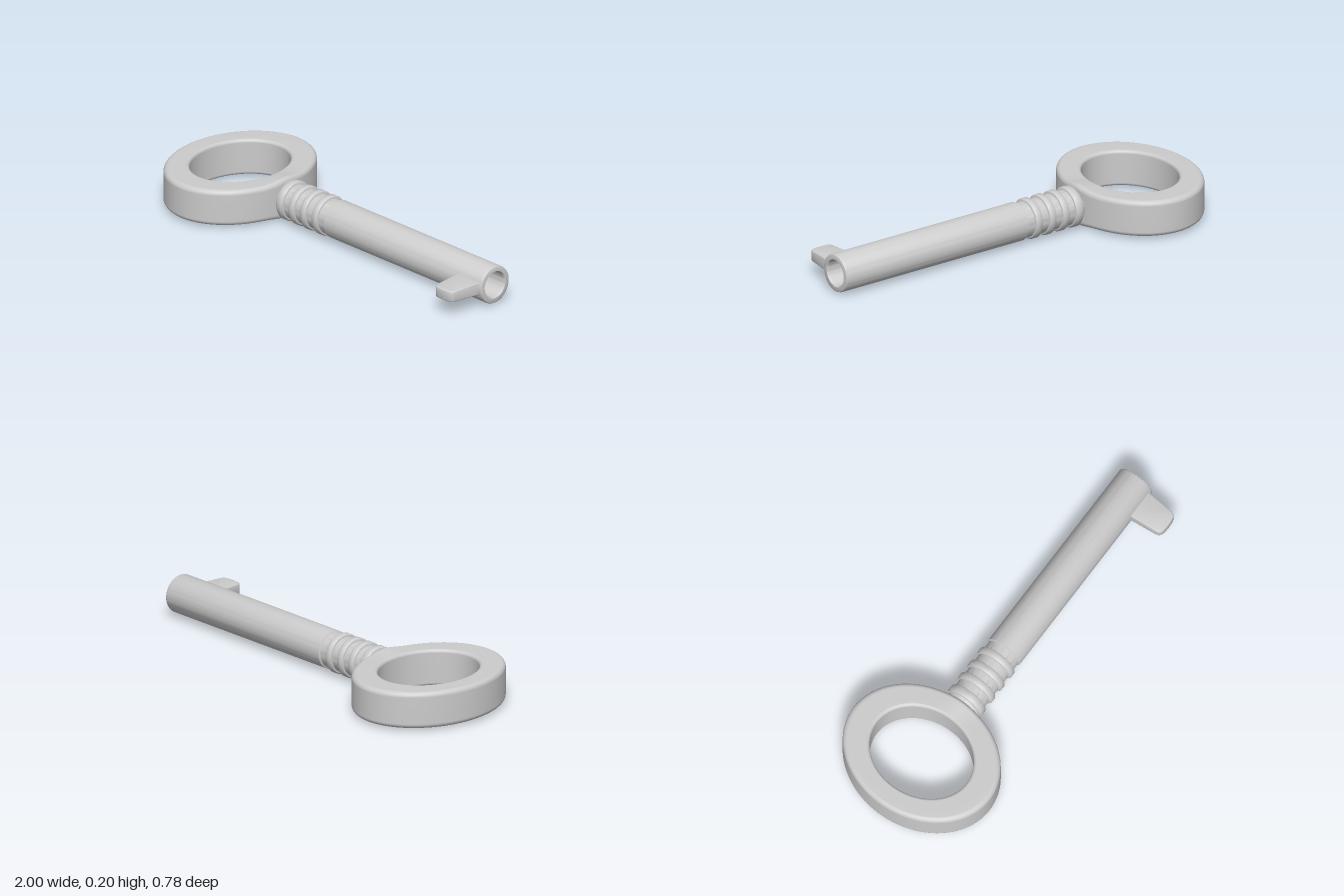
import * as THREE from 'three';
import { toCreasedNormals } from 'three/addons/utils/BufferGeometryUtils.js';

const CY = 0.107; // height of the key's axis
const CZ = -0.003;
const material = new THREE.MeshStandardMaterial({ color: 0xcccccc });

function part(name, geometry) {
  const mesh = new THREE.Mesh(geometry, material);
  mesh.name = name;
  mesh.position.set(0, CY, CZ);
  return mesh;
}

// Oval bow: a rounded rectangle swept round an ellipse, flaring where it meets the stem
function bowGeometry() {
  const cx = -0.685, h = 0.089, steps = 96;
  const outer = [0.315, 0.389], inner = [0.21, 0.255];
  const profile = [];
  const corners = [[1, -1, 0.024], [1, 1, 0.024], [0, 1, 0.016], [0, -1, 0.016]];
  corners.forEach(([u, s, r], c) => {
    const ru = r / 0.12;
    for (let k = 0; k <= 5; k++) {
      const a = (c - 1 + k / 5) * Math.PI / 2;
      profile.push([(u ? 1 - ru : ru) + ru * Math.cos(a), s * (h - r) + r * Math.sin(a)]);
    }
  });
  const n = profile.length, pos = [], index = [];
  for (let i = 0; i < steps; i++) {
    const t = i / steps * Math.PI * 2;
    profile.forEach(([u, y], j) => {
      const x = cx + THREE.MathUtils.lerp(inner[0], outer[0], u) * Math.cos(t);
      const z = THREE.MathUtils.lerp(inner[1], outer[1], u) * Math.sin(t);
      const flare = 1 + 0.15 * Math.exp(-((z / 0.075) ** 2)) * THREE.MathUtils.smoothstep(x, -0.47, -0.37);
      pos.push(x, y * flare, z);
      const i2 = (i + 1) % steps, j2 = (j + 1) % n;
      const a = i * n + j, b = i * n + j2, c = i2 * n + j2, d = i2 * n + j;
      index.push(a, b, d, b, c, d);
    });
  }
  const g = new THREE.BufferGeometry();
  g.setAttribute('position', new THREE.Float32BufferAttribute(pos, 3));
  g.setIndex(index);
  g.computeVertexNormals();
  return g;
}

// Stem: collared neck, plain barrel and a blind bore, turned in one piece
function stemGeometry() {
  const pts = [];
  const add = (r, x) => pts.push(new THREE.Vector2(r, x));
  add(0, -0.43);
  add(0.07, -0.43);
  add(0.07, -0.372);
  add(0.083, -0.36);
  for (const [a, b] of [[-0.355, -0.31], [-0.275, -0.235], [-0.2, -0.16], [-0.122, -0.082]]) {
    add(0.084, a);
    add(0.092, a + 0.002);
    add(0.097, a + 0.009);
    add(0.097, b - 0.009);
    add(0.092, b - 0.002);
    add(0.084, b);
  }
  add(0.084, -0.042);
  add(0.092, -0.038);
  add(0.092, 0.992);
  add(0.09, 0.998);
  add(0.087, 1);
  add(0.067, 1);
  add(0.064, 0.997);
  add(0.062, 0.99);
  // rounded floor of the bore
  for (let k = 0; k <= 8; k++) {
    const a = k / 8 * Math.PI / 2;
    add(k === 8 ? 0 : 0.061 * Math.cos(a), 0.72 - 0.061 * Math.sin(a));
  }
  const g = new THREE.LatheGeometry(pts, 56);
  g.rotateZ(-Math.PI / 2);
  return toCreasedNormals(g, 0.7);
}

// Bit: tapering tooth with rounded tip corners
function bitGeometry() {
  const s = new THREE.Shape();
  s.moveTo(0.842, 0.075);
  s.lineTo(0.976, 0.075);
  s.lineTo(0.962, 0.222);
  s.quadraticCurveTo(0.96, 0.238, 0.942, 0.242);
  s.quadraticCurveTo(0.906, 0.248, 0.872, 0.242);
  s.quadraticCurveTo(0.855, 0.238, 0.853, 0.222);
  s.closePath();
  const g = new THREE.ExtrudeGeometry(s, {
    depth: 0.05, bevelThickness: 0.006, bevelSize: 0.006, bevelSegments: 3, curveSegments: 8,
  });
  g.translate(0, 0, -0.025);
  g.rotateX(Math.PI / 2);
  const p = g.attributes.position;
  for (let i = 0; i < p.count; i++) {
    p.setY(i, p.getY(i) * (1 - 0.9 * (p.getZ(i) - 0.09)));
  }
  return toCreasedNormals(g, 0.6);
}

export function createModel() {
  const key = new THREE.Group();
  key.name = 'key';
  key.add(part('bow', bowGeometry()), part('stem', stemGeometry()), part('bit', bitGeometry()));
  return key;
}
